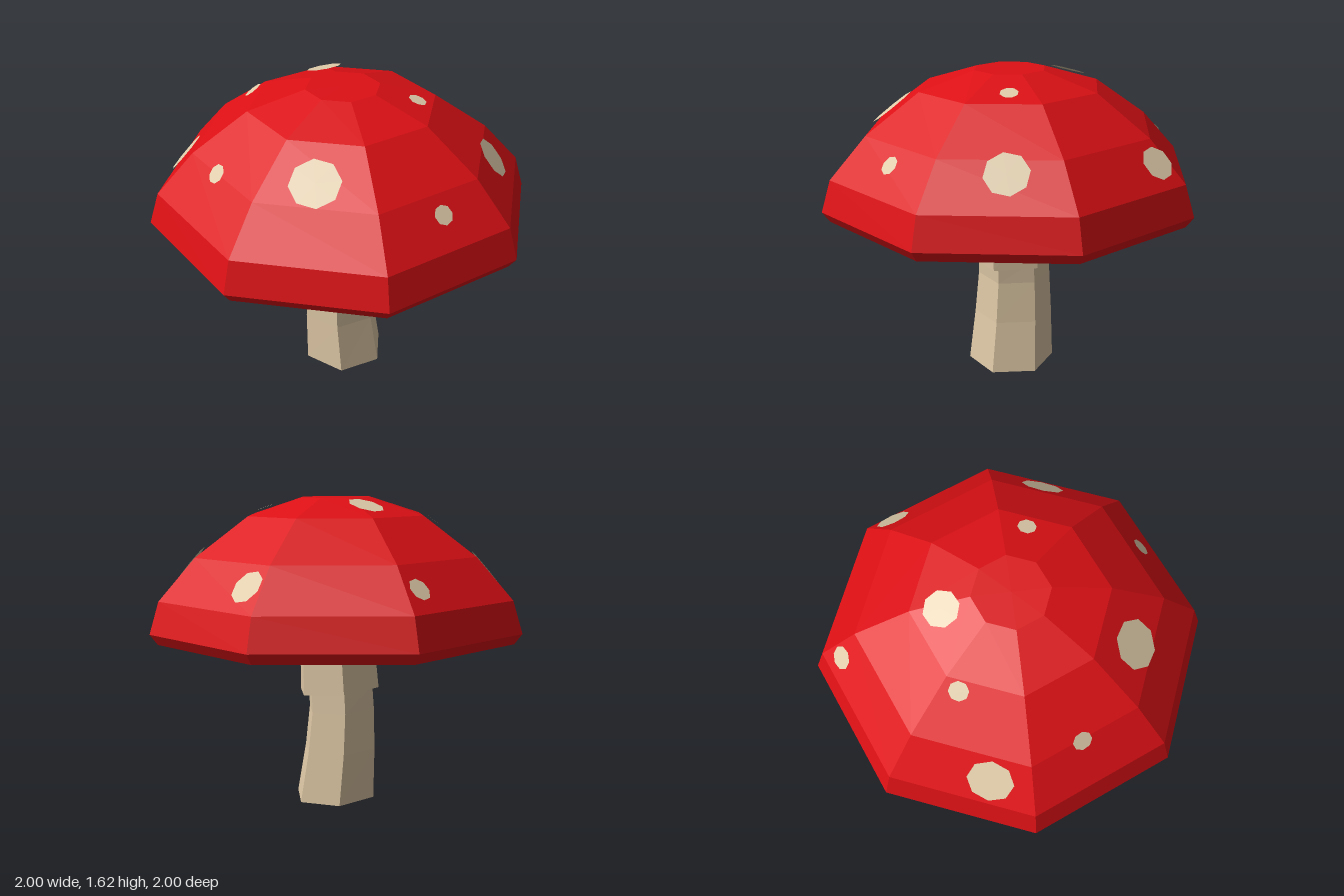
import * as THREE from 'three';

const red = new THREE.MeshStandardMaterial({ color: 0xdd1015, flatShading: true });
const cream = new THREE.MeshStandardMaterial({ color: 0xdcc6a4, flatShading: true });
const spotMat = new THREE.MeshStandardMaterial({ color: 0xe0ccaa, flatShading: true, side: THREE.DoubleSide });

// Cap outline as [radius, height], from the rim upwards
const PROFILE = [[0.96, 0.903], [1, 0.957], [0.95, 1.12], [0.76, 1.33], [0.48, 1.53], [0.19, 1.62], [0, 1.622]];
const SIDES = 8;

// Six-sided loft through rings of [centre x, y, radius x, radius z, slope], closed at the bottom
function loft(rings) {
  const n = 6, pos = [], index = [];
  for (const [cx, y, rx, rz, slope] of rings) {
    for (let j = 0; j < n; j++) {
      const a = (j / n) * Math.PI * 2;
      const dx = Math.cos(a) * rx;
      const dz = -Math.sin(a) / Math.sin(Math.PI / 3) * rz;
      pos.push(cx + dx, Math.max(0, y + dx * slope), dz);
    }
  }
  for (let i = 0; i < rings.length - 1; i++) {
    for (let j = 0; j < n; j++) {
      const a = i * n + j, b = i * n + (j + 1) % n;
      index.push(a, b, b + n, a, b + n, a + n);
    }
  }
  for (let j = 1; j < n - 1; j++) index.push(0, j + 1, j);
  const g = new THREE.BufferGeometry();
  g.setAttribute('position', new THREE.Float32BufferAttribute(pos, 3));
  g.setIndex(index);
  const flat = g.toNonIndexed();
  flat.computeVertexNormals();
  return flat;
}

// Octagonal disc laid on the cap facet under (x, z)
function makeSpot(x, z, r) {
  const step = (Math.PI * 2) / SIDES;
  const mid = (Math.floor(Math.atan2(x, z) / step) + 0.5) * step;
  const apothem = Math.cos(step / 2);
  const d = x * Math.sin(mid) + z * Math.cos(mid);
  let i = 1;
  while (i < PROFILE.length - 2 && d / apothem < PROFILE[i + 1][0]) i++;
  const [r0, y0] = PROFILE[i], [r1, y1] = PROFILE[i + 1];
  const y = y0 + (y1 - y0) * (r0 - d / apothem) / (r0 - r1);
  const out = y1 - y0, up = (r0 - r1) * apothem;
  const normal = new THREE.Vector3(Math.sin(mid) * out, up, Math.cos(mid) * out).normalize();
  const spot = new THREE.Mesh(new THREE.CircleGeometry(r, 8, Math.PI / 8), spotMat);
  spot.position.set(x, y, z).addScaledVector(normal, 0.014);
  spot.quaternion.setFromUnitVectors(new THREE.Vector3(0, 0, 1), normal);
  spot.name = 'spot';
  return spot;
}

export function createModel() {
  const model = new THREE.Group();
  model.name = 'mushroom';

  // Bent stem with a stepped collar below the cap
  const stem = new THREE.Mesh(loft([
    [0.015, 0.008, 0.225, 0.2, -0.04],
    [-0.012, 0.28, 0.203, 0.182, -0.04],
    [-0.022, 0.5, 0.188, 0.168, -0.05],
    [-0.015, 0.62, 0.185, 0.163, -0.08],
  ]), cream);
  stem.name = 'stem';
  const collar = new THREE.Mesh(loft([
    [-0.008, 0.605, 0.228, 0.2, -0.1],
    [0.008, 0.91, 0.212, 0.19, 0],
  ]), cream);
  collar.name = 'collar';
  model.add(stem, collar);

  // Slightly tilted faceted cap
  const cap = new THREE.Group();
  cap.name = 'cap';
  cap.rotation.set(0.005, 0, -0.008);
  const dome = new THREE.Mesh(
    new THREE.LatheGeometry(PROFILE.map(([r, y]) => new THREE.Vector2(r, y)), SIDES), red);
  dome.name = 'dome';
  const underside = new THREE.Mesh(new THREE.CircleGeometry(PROFILE[0][0], SIDES), cream);
  underside.rotation.x = Math.PI / 2;
  underside.position.y = PROFILE[0][1];
  underside.name = 'underside';
  cap.add(dome, underside);

  // Spots as [x, z, radius]
  for (const s of [
    [0.22, 0.57, 0.125], [-0.68, 0.41, 0.115], [0.68, -0.32, 0.11],
    [0.08, -0.82, 0.09], [-0.25, -0.21, 0.092], [-0.64, -0.54, 0.06],
    [-0.29, 0.64, 0.05], [0.72, 0.27, 0.05], [-0.49, 0.08, 0.05], [0.33, -0.16, 0.047],
  ]) cap.add(makeSpot(...s));
  model.add(cap);
  return model;
}
